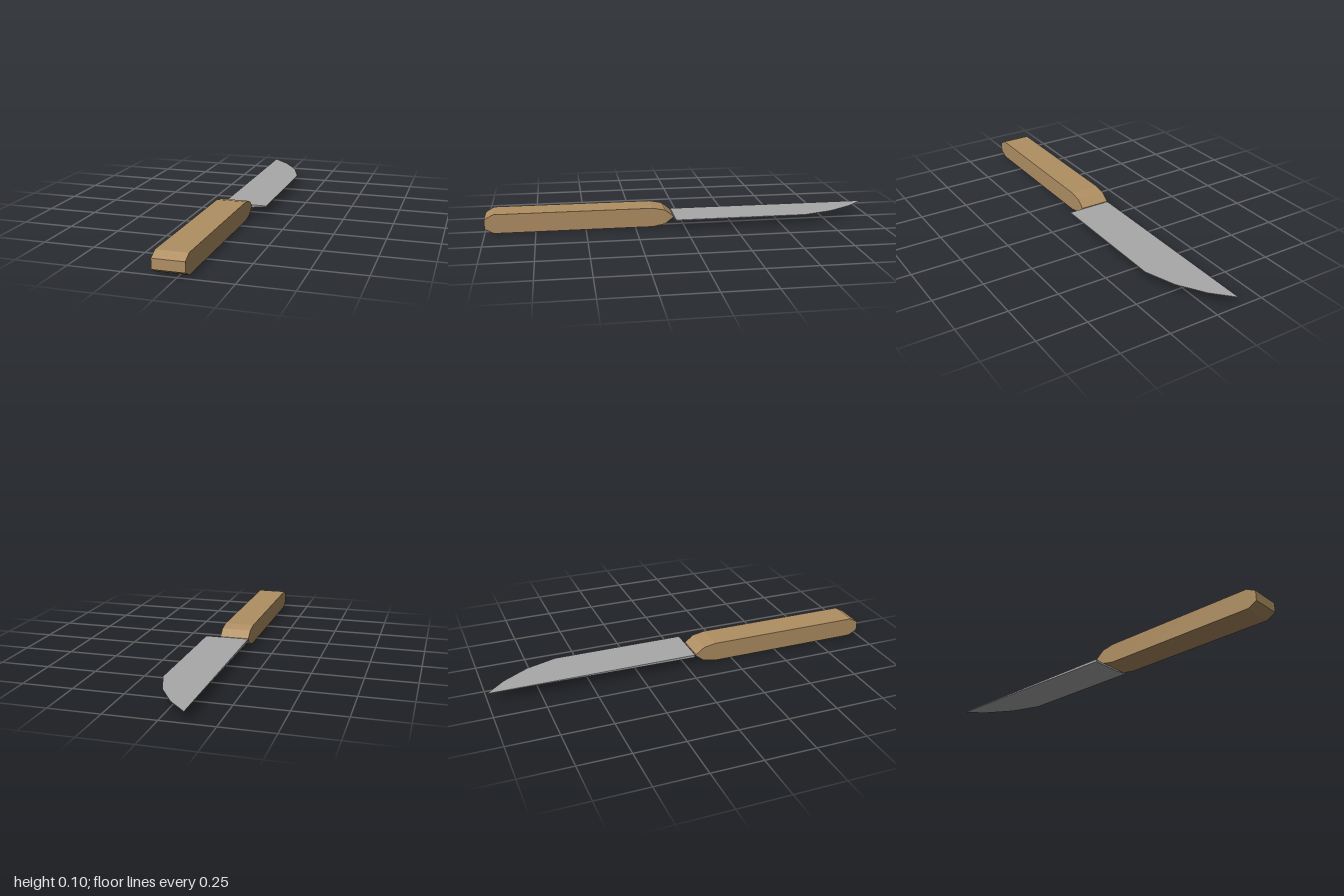
import * as THREE from 'three';

const wood = new THREE.MeshStandardMaterial({ color: 0xb08f63, flatShading: true });
wood.name = 'wood';
const steel = new THREE.MeshStandardMaterial({ color: 0xa8a8a8, flatShading: true });
steel.name = 'steel';

// Handle: chamfered side profile (z, y), extruded across x
function createHandle() {
  const top = [[0.055, 0.052], [0.098, 0.085], [0.16, 0.097], [0.955, 0.097], [1, 0.073]];
  const bottom = top.map(([z, y]) => [z, 0.097 - y]).reverse();
  const points = [...top, ...bottom].map(([z, y]) => new THREE.Vector2(z, y));
  const geometry = new THREE.ExtrudeGeometry(new THREE.Shape(points), { depth: 0.151, bevelEnabled: false });
  geometry.rotateY(-Math.PI / 2).translate(0.038, 0, 0);
  const mesh = new THREE.Mesh(geometry, wood);
  mesh.name = 'handle';
  return mesh;
}

// Blade: cross-sections from heel to tip, flat on top, tapering below
function createBlade() {
  const spineX = -0.113, topY = 0.0515, heelZ = 0.05;
  const stations = [[heelZ, 0.113], [-0.62, 0.113], [-0.775, 0.06], [-0.905, -0.022], [-1, spineX]];
  const sections = stations.map(([z, edgeX]) => {
    const t = (heelZ - z) / (heelZ + 1);
    const spineY = THREE.MathUtils.lerp(0.038, 0.049, t);
    const edgeY = THREE.MathUtils.lerp(0.0465, 0.0495, t);
    const creaseX = THREE.MathUtils.lerp(spineX, edgeX, 0.65);
    return [
      [spineX, topY, z], [edgeX, topY, z], [edgeX, edgeY, z],
      [creaseX, spineY, z], [spineX, spineY, z],
    ];
  });
  const n = sections[0].length;
  const index = [];
  for (let s = 0; s < sections.length - 1; s++) {
    for (let i = 0; i < n; i++) {
      const a = s * n + i, b = s * n + (i + 1) % n;
      index.push(a, b, b + n, a, b + n, a + n);
    }
  }
  // Heel cap
  for (let i = 1; i < n - 1; i++) index.push(0, i + 1, i);

  const geometry = new THREE.BufferGeometry();
  geometry.setAttribute('position', new THREE.Float32BufferAttribute(sections.flat(2), 3));
  geometry.setIndex(index);
  const flat = geometry.toNonIndexed();
  flat.computeVertexNormals();
  const mesh = new THREE.Mesh(flat, steel);
  mesh.name = 'blade';
  return mesh;
}

export function createModel() {
  const group = new THREE.Group();
  group.name = 'knife';
  group.add(createHandle(), createBlade());
  return group;
}
